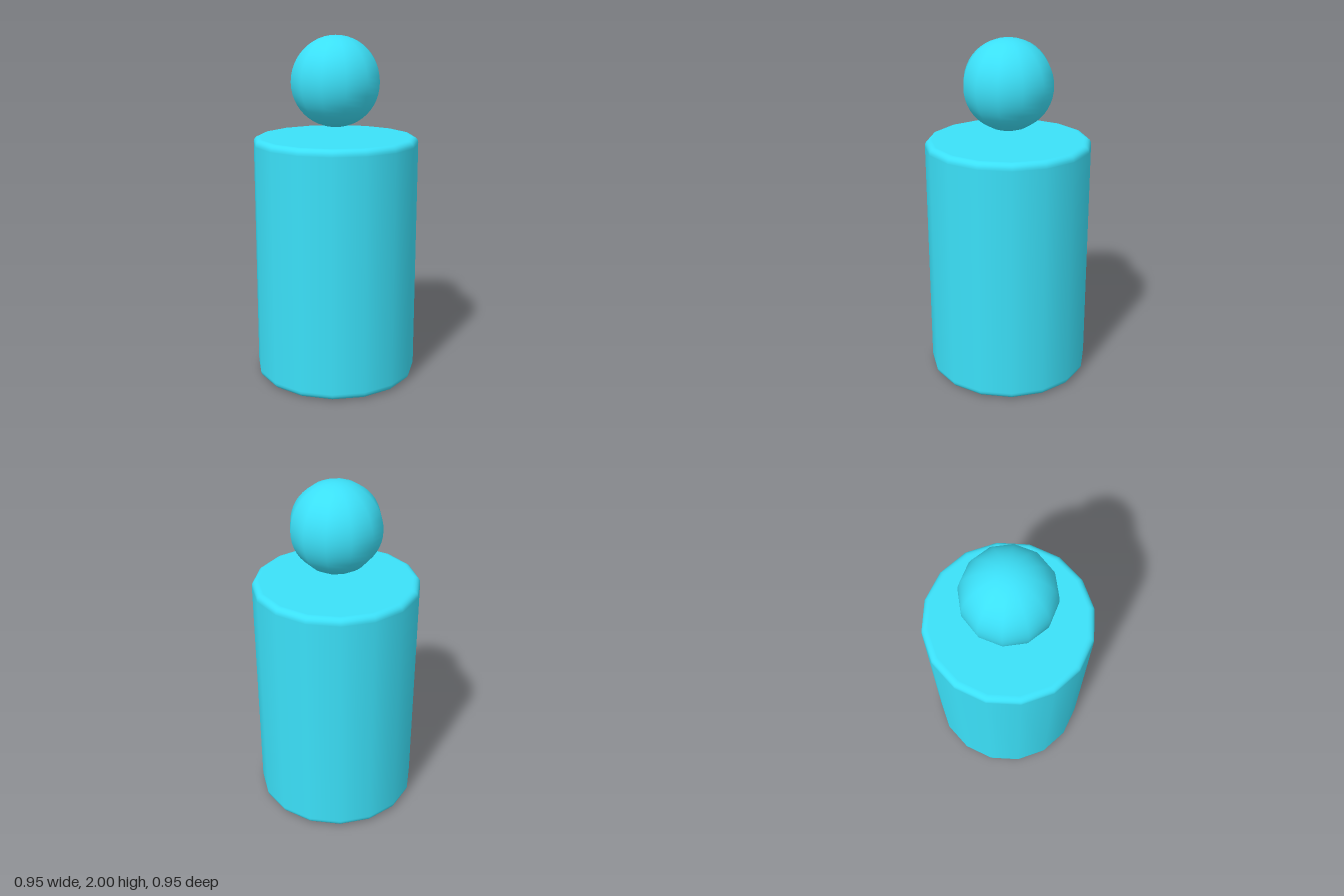
import * as THREE from 'three';

export function createModel() {
  const model = new THREE.Group();
  const material = new THREE.MeshStandardMaterial({ color: 0x3be0f8 });

  // Body: sixteen-sided cylinder with rounded rims
  const radius = 0.475, height = 1.43, bevel = 0.035, steps = 6;
  const profile = [new THREE.Vector2(0, 0), new THREE.Vector2(radius - bevel - 0.004, 0)];
  const addRim = (centreY, startAngle) => {
    for (let i = 0; i <= steps; i++) {
      const a = startAngle + (i / steps) * Math.PI / 2;
      profile.push(new THREE.Vector2(radius - bevel + bevel * Math.cos(a), centreY + bevel * Math.sin(a)));
    }
  };
  addRim(bevel, -Math.PI / 2);
  // Guard points keep the wall and cap shading even
  profile.push(new THREE.Vector2(radius, bevel + 0.004), new THREE.Vector2(radius, height - bevel - 0.004));
  addRim(height - bevel, 0);
  profile.push(new THREE.Vector2(radius - bevel - 0.004, height), new THREE.Vector2(0, height));
  const body = new THREE.Mesh(new THREE.LatheGeometry(profile, 16), material);
  body.name = 'body';

  // Head: ball floating just above the body
  const headRadius = 0.258;
  const head = new THREE.Mesh(new THREE.SphereGeometry(headRadius, 12, 24), material);
  head.name = 'head';
  head.position.y = 2 - headRadius;

  model.add(body, head);
  return model;
}
